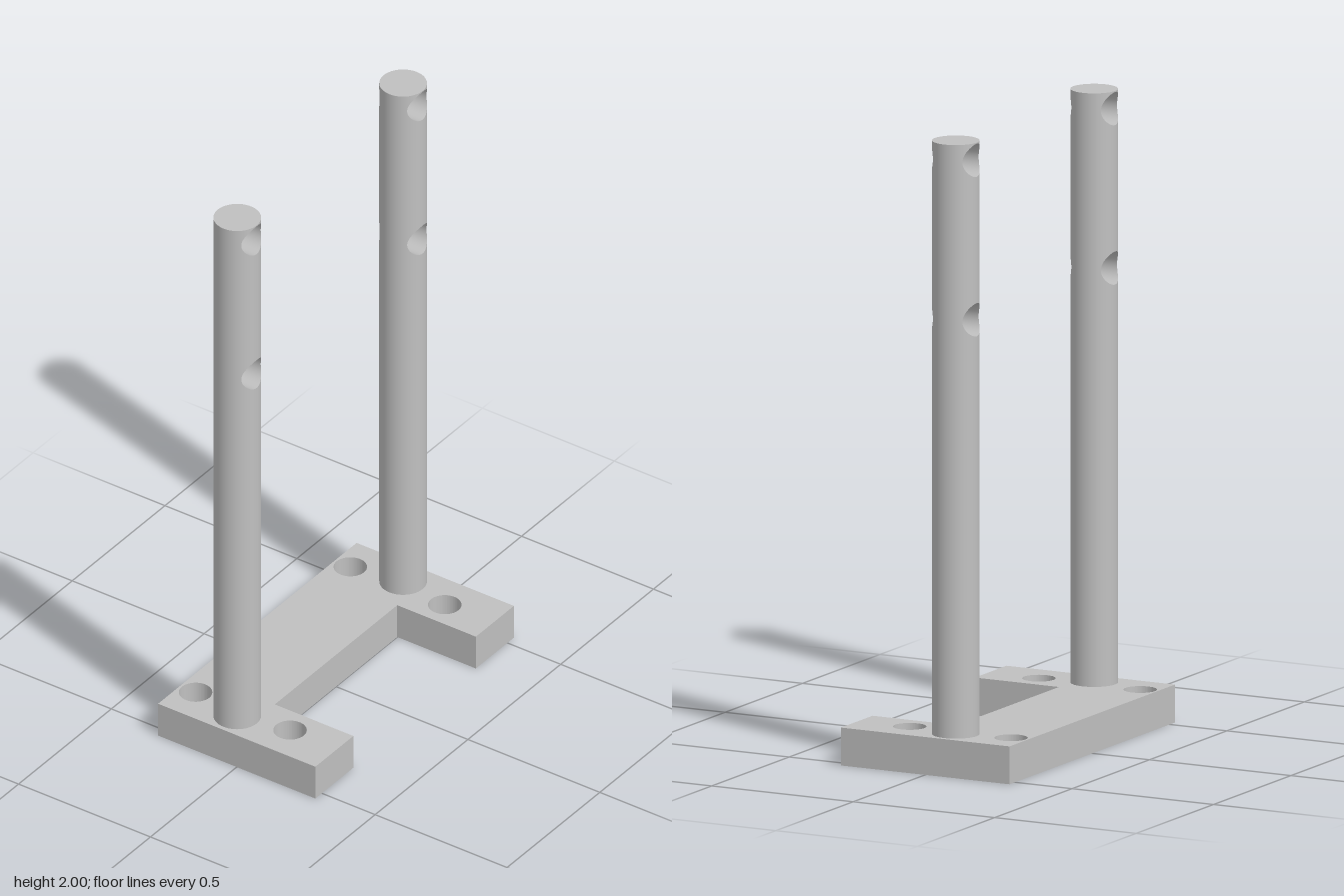
import * as THREE from 'three';

const BASE_H = 0.12, TOP = 2, POST_R = 0.074, BORE_R = 0.0525, BORES = [1.439, 1.944];

// U-shaped base plate with four screw holes
function basePlate() {
  const s = new THREE.Shape([
    [-0.298, -0.535], [0.298, -0.535], [0.298, -0.33], [0, -0.33],
    [0, 0.33], [0.298, 0.33], [0.298, 0.535], [-0.298, 0.535],
  ].map(([x, y]) => new THREE.Vector2(x, y)));
  for (const x of [-0.239, 0.119]) for (const y of [-0.417, 0.417]) {
    s.holes.push(new THREE.Path().absarc(x, y, 0.052, 0, Math.PI * 2, true));
  }
  const g = new THREE.ExtrudeGeometry(s, { depth: BASE_H, bevelEnabled: false, curveSegments: 32 });
  return g.rotateX(-Math.PI / 2);
}

// Round post with cross bores running along x, built from columns of constant z
function postGeometry() {
  const pos = [], nor = [];
  const quad = (pts, normals) => {
    const [a, b, c, d] = pts.map((p) => new THREE.Vector3(...p));
    const face = c.clone().sub(a).cross(d.clone().sub(b));
    const out = face.dot(new THREE.Vector3(...normals[0]).add(new THREE.Vector3(...normals[2]))) > 0;
    for (const i of out ? [0, 1, 2, 0, 2, 3] : [0, 2, 1, 0, 3, 2]) {
      pos.push(...pts[i]);
      nor.push(...normals[i]);
    }
  };

  // Column positions: fine across the bores, then out to the sides
  const cols = [], edge = Math.asin(BORE_R / POST_R), N = 24, M = 8;
  for (let i = 0; i < M; i++) cols.push(-POST_R * Math.sin(Math.PI / 2 + (edge - Math.PI / 2) * i / M));
  for (let i = 0; i <= N; i++) cols.push(-BORE_R * Math.cos(Math.PI * i / N));
  for (let i = M - 1; i >= 0; i--) cols.push(-cols[i]);

  const depth = (z) => Math.sqrt(Math.max(0, POST_R ** 2 - z * z));
  const gap = (z) => Math.sqrt(Math.max(0, BORE_R ** 2 - z * z));
  const up = [0, 1, 0];

  for (let i = 0; i < cols.length - 1; i++) {
    const z0 = cols[i], z1 = cols[i + 1];
    const x0 = depth(z0), x1 = depth(z1);
    // Wall strips below, between and above the bores
    for (const side of [1, -1]) {
      const n0 = [side * x0 / POST_R, 0, z0 / POST_R], n1 = [side * x1 / POST_R, 0, z1 / POST_R];
      for (let k = 0; k <= BORES.length; k++) {
        const lo = (z) => (k === 0 ? BASE_H : BORES[k - 1] + gap(z));
        const hi = (z) => (k === BORES.length ? TOP : BORES[k] - gap(z));
        quad([[side * x0, lo(z0), z0], [side * x1, lo(z1), z1], [side * x1, hi(z1), z1], [side * x0, hi(z0), z0]],
          [n0, n1, n1, n0]);
      }
    }
    // Flat top
    quad([[-x0, TOP, z0], [x0, TOP, z0], [x1, TOP, z1], [-x1, TOP, z1]], [up, up, up, up]);
    // Bore linings, facing the bore axis
    if (Math.abs(z0 + z1) / 2 < BORE_R) for (const y of BORES) for (const s of [1, -1]) {
      const g0 = s * gap(z0), g1 = s * gap(z1);
      const n0 = [0, -g0 / BORE_R, -z0 / BORE_R], n1 = [0, -g1 / BORE_R, -z1 / BORE_R];
      quad([[-x0, y + g0, z0], [x0, y + g0, z0], [x1, y + g1, z1], [-x1, y + g1, z1]], [n0, n0, n1, n1]);
    }
  }
  const g = new THREE.BufferGeometry();
  g.setAttribute('position', new THREE.Float32BufferAttribute(pos, 3));
  g.setAttribute('normal', new THREE.Float32BufferAttribute(nor, 3));
  return g;
}

export function createModel() {
  const model = new THREE.Group();
  model.name = 'postStand';
  const grey = new THREE.MeshStandardMaterial({ color: 0xc0c0c0 });
  grey.name = 'light grey';

  const base = new THREE.Mesh(basePlate(), grey);
  base.name = 'basePlate';
  model.add(base);

  // One post over each arm
  const geometry = postGeometry();
  for (const [name, z] of [['frontPost', 0.447], ['backPost', -0.447]]) {
    const post = new THREE.Mesh(geometry, grey);
    post.name = name;
    post.position.set(-0.06, 0, z);
    model.add(post);
  }
  return model;
}
